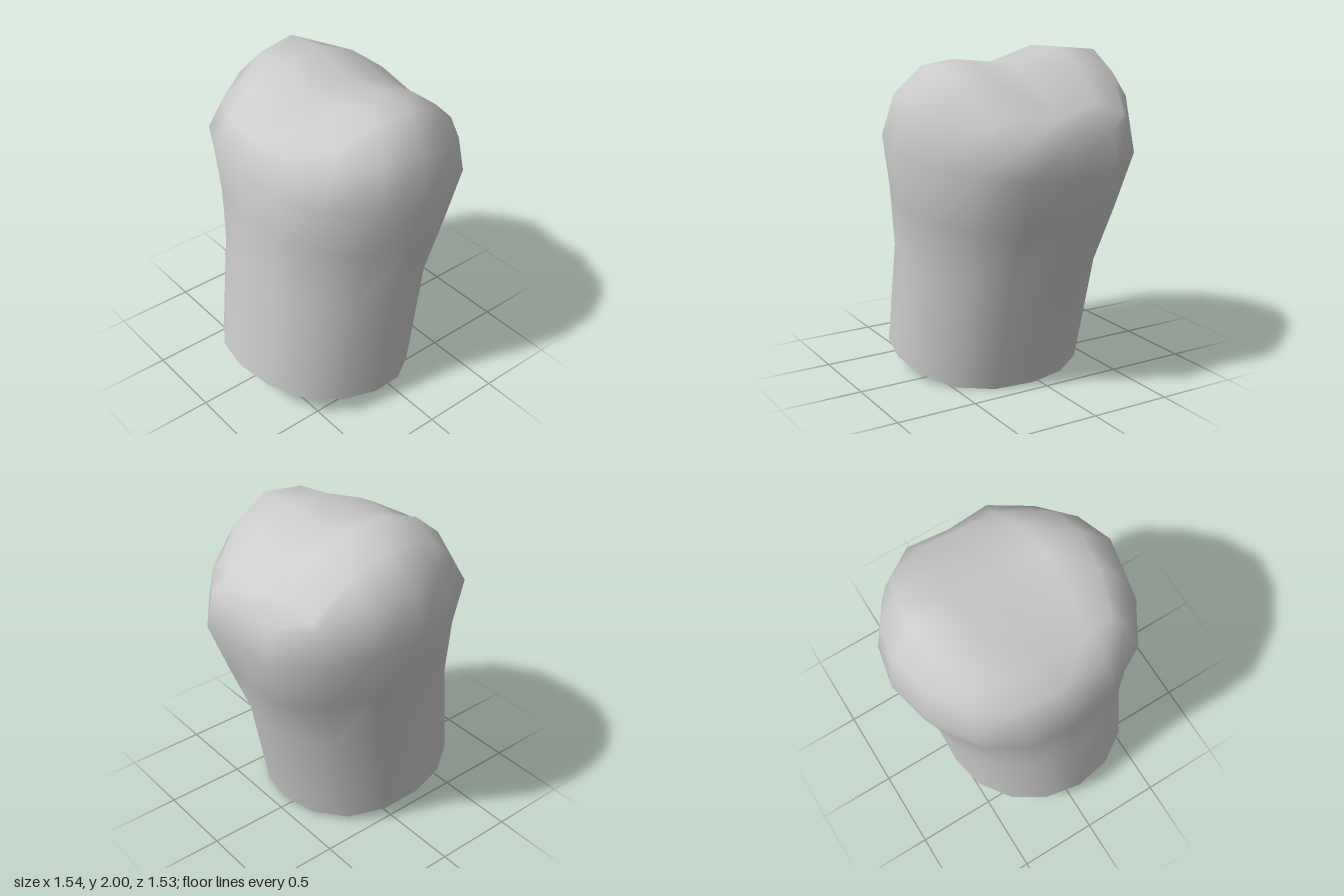
import * as THREE from 'three';

const SIDES = 16;

// Tilted elliptical rings of the open shaft, bottom to shoulder.
// tilt lifts the front, lift raises the flanks, corner lowers the diagonals, lean tips sideways,
// square fills out the diagonals, lobe pushes out the two back lobes, dip lowers the centre line.
const RINGS = [
  { cx: 0.06, rx: 0.61, cz: 0.17, rz: 0.595, y: 0.12, tilt: 0.11, lift: 0, corner: 0.02, lean: -0.02, square: 0, lobe: 0, dip: 0 },
  { cx: 0.03, rx: 0.63, cz: 0.06, rz: 0.62, y: 0.77, tilt: 0.11, lift: 0, corner: 0, lean: -0.02, square: 0, lobe: 0, dip: 0 },
  { cx: 0.015, rx: 0.7, cz: -0.01, rz: 0.655, y: 1.14, tilt: 0.14, lift: 0, corner: 0, lean: -0.02, square: 0.04, lobe: 0.02, dip: 0 },
  { cx: 0, rx: 0.77, cz: -0.05, rz: 0.69, y: 1.455, tilt: 0.12, lift: 0.02, corner: 0, lean: -0.025, square: 0.1, lobe: 0.05, dip: 0.01 },
  { cx: 0, rx: 0.715, cz: -0.09, rz: 0.63, y: 1.67, tilt: 0.11, lift: 0.09, corner: 0.05, lean: -0.02, square: 0.08, lobe: 0.04, dip: 0.02 },
];

// Crown grid: columns run across x (with their heights), rows run back to front (with their drops)
const COL_X = [-0.55, -0.28, 0.02, 0.3, 0.53];
const COL_Y = [1.97, 2.0, 1.91, 1.945, 1.935];
const ROW_Z = [-0.635, -0.41, -0.15, 0.13, 0.385];
const ROW_DROP = [0.26, 0.1, 0, 0.01, 0.09];

// Column of the crown's border that lies above shaft side k
function borderColumn(k) {
  k = ((k % SIDES) + SIDES) % SIDES;
  if (k > 12) k -= SIDES;
  return 2 + 2 * THREE.MathUtils.clamp(2 - Math.abs(k - 4) / 2, -1, 1);
}

function lobedShell() {
  const positions = [];
  const index = [];
  const quad = (a, b, c, d) => index.push(a, b, c, a, c, d);

  // Shaft rings; k = 0 is the front centre
  for (const r of RINGS) {
    for (let k = 0; k < SIDES; k++) {
      const t = (k / SIDES) * Math.PI * 2;
      const s = Math.sin(t);
      const c = Math.cos(t);
      const diagonal = Math.sin(2 * t) ** 2;
      const onLobe = k === 7 || k === 9;
      const onCentre = k % 8 === 0;
      positions.push(
        r.cx + r.rx * s,
        r.y + r.tilt * c + r.lift * s * s - r.corner * diagonal + r.lean * s - (onCentre ? r.dip : 0),
        r.cz + r.rz * c * (1 + r.square * diagonal) - (onLobe ? r.lobe : 0)
      );
    }
  }

  // Crown grid, rounded in at its corners
  const crown = RINGS.length * SIDES;
  const cell = (i, j) => crown + j * 5 + i;
  for (let j = 0; j < 5; j++) {
    for (let i = 0; i < 5; i++) {
      const u = (i - 2) / 2;
      const v = (j - 2) / 2;
      positions.push(
        COL_X[i] * (1 - 0.16 * v * v),
        COL_Y[i] - ROW_DROP[j] - 0.065 * u * u * v * v,
        ROW_Z[2] + (ROW_Z[j] - ROW_Z[2]) * (1 - 0.12 * u * u)
      );
    }
  }

  // Shaft walls, the last band joining the crown's border
  const at = (ring, k) => ring < RINGS.length
    ? ring * SIDES + (k % SIDES)
    : cell(borderColumn(k), borderColumn(k + 4));
  for (let ring = 0; ring < RINGS.length; ring++) {
    for (let k = 0; k < SIDES; k++) {
      quad(at(ring, k), at(ring, k + 1), at(ring + 1, k + 1), at(ring + 1, k));
    }
  }

  // Crown surface
  for (let j = 0; j < 4; j++) {
    for (let i = 0; i < 4; i++) {
      quad(cell(i, j), cell(i, j + 1), cell(i + 1, j + 1), cell(i + 1, j));
    }
  }

  const geometry = new THREE.BufferGeometry();
  geometry.setAttribute('position', new THREE.Float32BufferAttribute(positions, 3));
  geometry.setIndex(index);
  geometry.computeVertexNormals();
  return geometry;
}

export function createModel() {
  const group = new THREE.Group();
  group.name = 'lobedStump';

  // Thin hollow shell, open at the bottom
  const shell = new THREE.Mesh(
    lobedShell(),
    new THREE.MeshStandardMaterial({ color: 0xcccccc, side: THREE.DoubleSide })
  );
  shell.name = 'shell';
  group.add(shell);
  return group;
}
